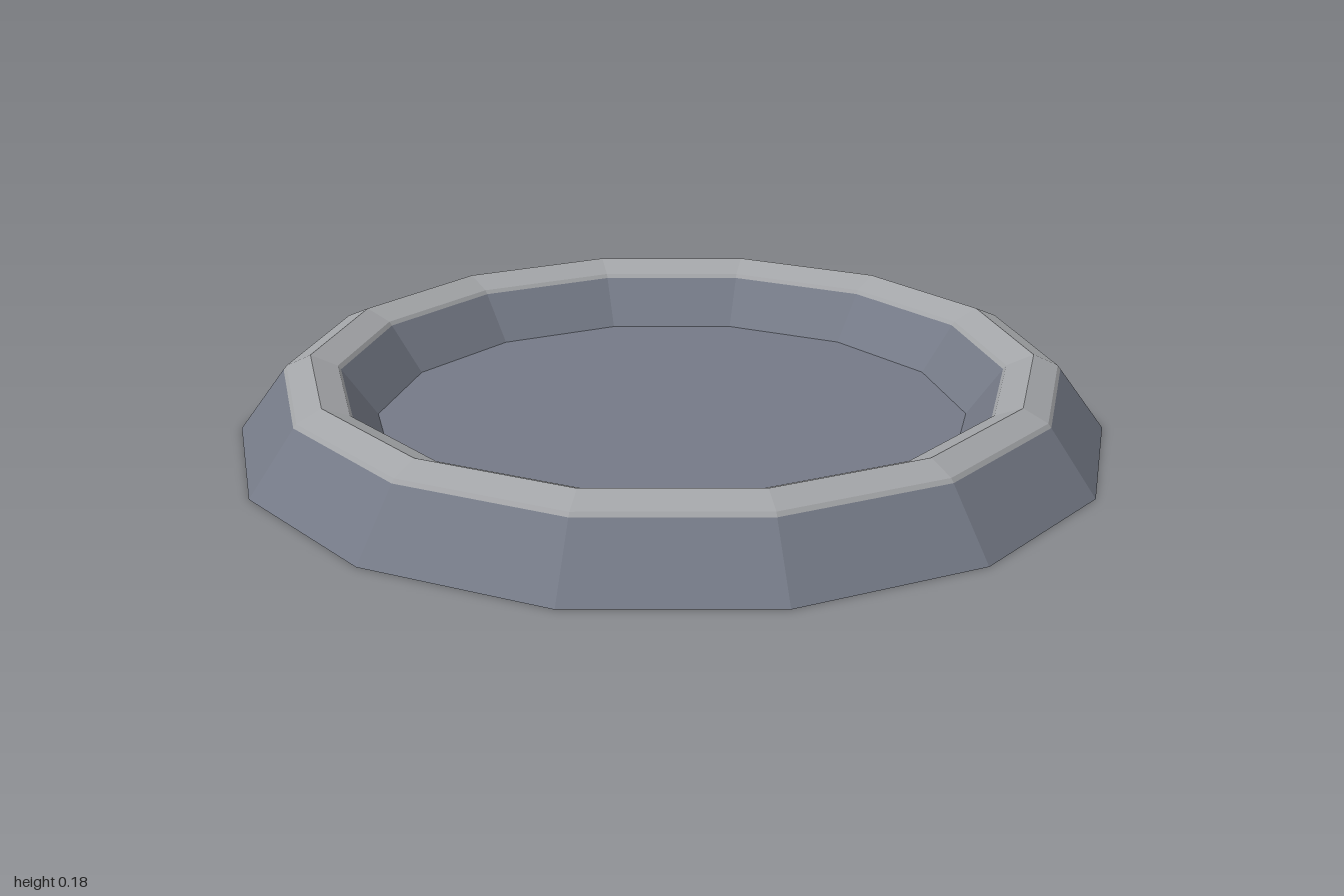
import * as THREE from 'three';

const SIDES = 14;
const PHASE = THREE.MathUtils.degToRad(96);

export function createModel() {
  const stone = new THREE.MeshStandardMaterial({ color: 0x757a87, flatShading: true });
  stone.name = 'blue grey';
  const trim = new THREE.MeshStandardMaterial({ color: 0xa3a5a8, flatShading: true });
  trim.name = 'light grey';

  const model = new THREE.Group();
  model.name = 'dish';

  // A faceted ring swept from [radius, height] points
  function ring(name, profile, material) {
    const points = profile.map(([r, y]) => new THREE.Vector2(r, y));
    const mesh = new THREE.Mesh(new THREE.LatheGeometry(points, SIDES, PHASE), material);
    mesh.name = name;
    model.add(mesh);
  }

  // Underside and sloping outer wall
  ring('base', [[0, 0], [1.0055, 0], [0.899, 0.145]], stone);
  // Pale ridge with a bevel on each side
  ring('rim', [[0.899, 0.145], [0.892, 0.154], [0.835, 0.18], [0.773, 0.154], [0.766, 0.145]], trim);
  // Sloping inner wall and sunken floor
  ring('basin', [[0.766, 0.145], [0.685, 0.035], [0, 0.035]], stone);

  return model;
}
